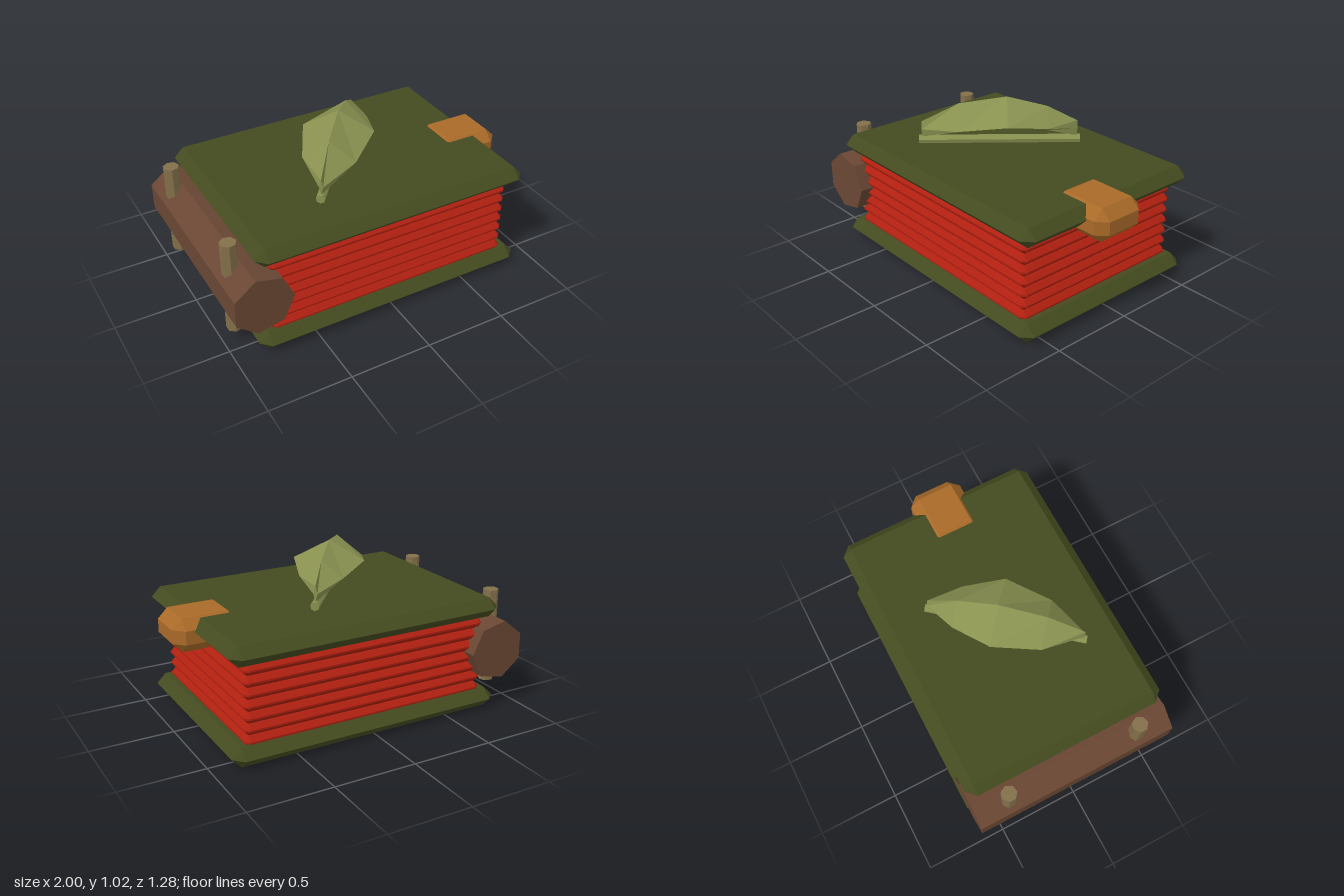
import * as THREE from 'three';
import { ConvexGeometry } from 'three/addons/geometries/ConvexGeometry.js';

const mat = (color) => new THREE.MeshStandardMaterial({ color, flatShading: true });

// Box with every edge cut by a flat bevel b, given by its min and max corners
function bevelBox(min, max, b) {
  const c = min.map((v, i) => (v + max[i]) / 2);
  const h = min.map((v, i) => (max[i] - v) / 2);
  const pts = [];
  for (let axis = 0; axis < 3; axis++)
    for (const sx of [-1, 1]) for (const sy of [-1, 1]) for (const sz of [-1, 1]) {
      const s = [sx, sy, sz];
      pts.push(new THREE.Vector3(...s.map((k, i) => c[i] + k * (i === axis ? h[i] : h[i] - b))));
    }
  return new ConvexGeometry(pts);
}

// Loft of four-cornered sections [along, halfWidth, topY, sideY, bottomY] with closed ends
function canopyGeometry(sections) {
  const rings = sections.map(([u, w, top, side, bottom]) => [
    [0, top, u], [w, side, u], [0, bottom, u], [-w, side, u],
  ]);
  const pos = [];
  const quad = (a, b, c, d) => pos.push(...a, ...b, ...c, ...a, ...c, ...d);
  for (let i = 0; i < rings.length - 1; i++)
    for (let j = 0; j < 4; j++) {
      const k = (j + 1) % 4;
      quad(rings[i][j], rings[i + 1][j], rings[i + 1][k], rings[i][k]);
    }
  const first = rings[0], last = rings[rings.length - 1];
  quad(first[0], first[1], first[2], first[3]);
  quad(last[3], last[2], last[1], last[0]);
  const g = new THREE.BufferGeometry();
  g.setAttribute('position', new THREE.Float32BufferAttribute(pos, 3));
  g.computeVertexNormals();
  return g;
}

export function createModel() {
  const model = new THREE.Group();
  model.name = 'book';
  const add = (name, geometry, material, parent = model) => {
    const mesh = new THREE.Mesh(geometry, material);
    mesh.name = name;
    parent.add(mesh);
    return mesh;
  };
  const coverMat = mat(0x444b1f), pageMat = mat(0xb02010), spineMat = mat(0x6a4733);
  const rodMat = mat(0x83704a), claspMat = mat(0xa96a28), eyeMat = mat(0x899150);

  // Covers
  add('bottomCover', bevelBox([-0.85, 0, -0.638], [0.89, 0.118, 0.638], 0.058), coverMat);
  add('topCover', bevelBox([-0.85, 0.578, -0.638], [0.89, 0.695, 0.638], 0.058), coverMat);

  // Stack of thick pages with open gaps between
  for (let i = 0; i < 7; i++) {
    const y = 0.126 + i * 0.069;
    add('page' + (i + 1), bevelBox([-0.76, y - 0.031, -0.577], [0.8, y + 0.031, 0.577], 0.026), pageMat);
  }

  // Seven-sided spine bar
  const spine = add('spine', new THREE.CylinderGeometry(0.185, 0.185, 1.276, 7), spineMat);
  spine.rotation.set(Math.PI / 2, Math.PI / 2, 0, 'XYZ');
  spine.position.set(-0.833, 0.371, 0);

  // Rods pinned through the spine
  for (const z of [-0.425, 0.42]) {
    const rod = add('spineRod', new THREE.CylinderGeometry(0.048, 0.048, 0.59, 7), rodMat);
    rod.position.set(-0.927, 0.39, z);
    rod.rotation.y = Math.PI / 2;
  }

  // Clasp block on the opening edge
  add('clasp', bevelBox([0.602, 0.505, -0.124], [1, 0.706, 0.217], 0.06), claspMat);

  // Eye ornament: arched lid above a thin bar, set diagonally on the cover
  const eye = new THREE.Group();
  eye.name = 'eyeOrnament';
  eye.position.set(-0.045, 0, 0.015);
  eye.rotation.y = Math.atan2(0.639, -0.769);
  model.add(eye);
  add('upperLid', canopyGeometry([
    [-0.47, 0.012, 0.862, 0.815, 0.765],
    [-0.246, 0.155, 0.975, 0.855, 0.805],
    [0.04, 0.213, 1.016, 0.9, 0.85],
    [0.28, 0.13, 0.955, 0.86, 0.8],
    [0.46, 0.012, 0.862, 0.815, 0.765],
  ]), eyeMat, eye);
  const bar = add('lowerLid', new THREE.CylinderGeometry(0.027, 0.027, 0.965, 7), eyeMat, eye);
  bar.rotation.x = Math.PI / 2;
  bar.position.set(0, 0.747, -0.005);

  return model;
}
